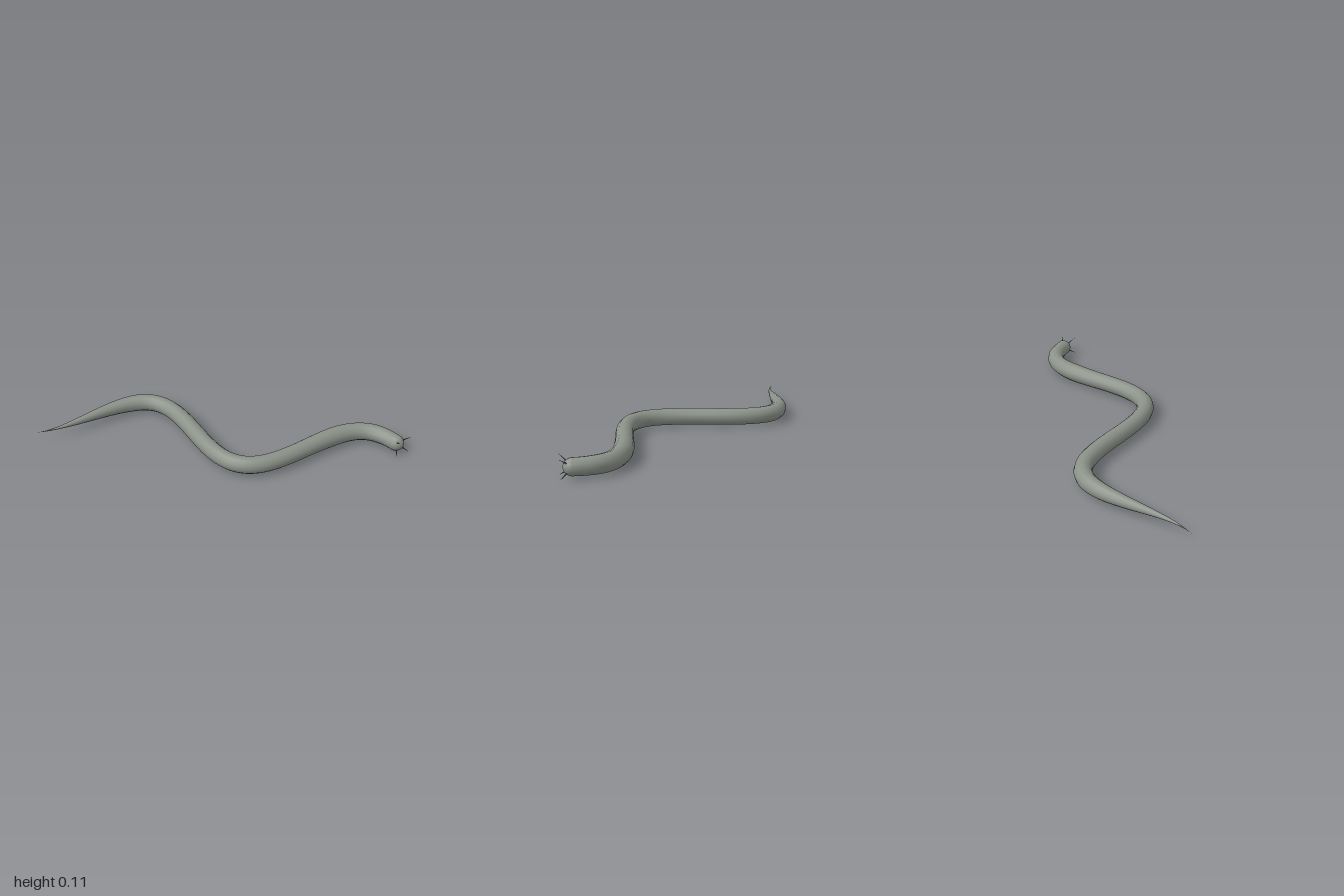
import * as THREE from 'three';

const SIDES = 12, MID_Y = 0.053, HEAD_X = 0.92, HEAD_R = 0.0445;
const K = (2 * Math.PI) / 1.228, PEAK_X = -0.462, AMP = 0.216;

// Wavy centreline lying flat, with its tangent
const centre = x => new THREE.Vector3(x, MID_Y, -AMP * Math.cos(K * (x - PEAK_X)));
const tangent = x => new THREE.Vector3(1, 0, AMP * K * Math.sin(K * (x - PEAK_X))).normalize();
const sideways = t => new THREE.Vector3(-t.z, 0, t.x);

// Radius along the body: fine tail, even trunk, slight swelling before the head
function radius(x) {
  const s = THREE.MathUtils.clamp((x + 1) / 0.5, 0, 1);
  const taper = 0.0002 + 0.0468 * Math.pow(Math.sin((s * Math.PI) / 2), 1.6);
  const swelling = 0.0045 * Math.exp(-(((x - 0.58) / 0.1) ** 2));
  const neck = (0.047 - HEAD_R) * THREE.MathUtils.smoothstep(x, 0.8, HEAD_X);
  return taper + swelling - neck;
}

function bodyGeometry() {
  const rings = [];
  const STEPS = 110, CAP = 9;
  for (let i = 0; i <= STEPS; i++) {
    const x = -1 + ((HEAD_X + 1) * i) / STEPS;
    rings.push({ c: centre(x), t: tangent(x), r: radius(x) });
  }
  // Rounded head end
  const t = tangent(HEAD_X);
  for (let i = 1; i <= CAP; i++) {
    const a = (i / CAP) * Math.PI / 2;
    rings.push({
      c: centre(HEAD_X).addScaledVector(t, HEAD_R * Math.sin(a)),
      t, r: Math.max(HEAD_R * Math.cos(a), 0.0002),
    });
  }
  const pos = [], index = [];
  rings.forEach(({ c, t, r }, i) => {
    const n = sideways(t);
    for (let j = 0; j < SIDES; j++) {
      const a = (j / SIDES) * Math.PI * 2;
      pos.push(c.x + n.x * r * Math.cos(a), c.y + r * Math.sin(a), c.z + n.z * r * Math.cos(a));
      if (i === 0) continue;
      const k = (j + 1) % SIDES;
      const p = (i - 1) * SIDES, q = i * SIDES;
      index.push(p + j, q + j, q + k, p + j, q + k, p + k);
    }
  });
  const g = new THREE.BufferGeometry();
  g.setAttribute('position', new THREE.Float32BufferAttribute(pos, 3));
  g.setIndex(index);
  g.computeVertexNormals();
  return g;
}

// Thin cone from base to tip
function bristle(base, tip, material) {
  const dir = tip.clone().sub(base);
  const mesh = new THREE.Mesh(new THREE.ConeGeometry(0.0035, dir.length(), 6), material);
  mesh.position.copy(base).addScaledVector(dir, 0.5);
  mesh.quaternion.setFromUnitVectors(new THREE.Vector3(0, 1, 0), dir.normalize());
  return mesh;
}

export function createModel() {
  const skin = new THREE.MeshStandardMaterial({ color: 0x8b9289 });
  skin.name = 'grey green skin';
  const dark = new THREE.MeshStandardMaterial({ color: 0x5f645b });
  dark.name = 'dark bristle';

  const group = new THREE.Group();
  group.name = 'worm';
  const body = new THREE.Mesh(bodyGeometry(), skin);
  body.name = 'body';
  group.add(body);

  // Four bristles splayed around the head
  const c = centre(HEAD_X), t = tangent(HEAD_X), n = sideways(t);
  const at = (f, l, v) => c.clone().addScaledVector(t, f).addScaledVector(n, l).add(new THREE.Vector3(0, v, 0));
  for (const l of [-1, 1]) for (const v of [-1, 1]) {
    const b = bristle(at(0.028, 0.0225 * l, 0.0245 * v), at(0.063, 0.049 * l, 0.053 * v), dark);
    b.name = `${v > 0 ? 'upper' : 'lower'}${l > 0 ? 'Left' : 'Right'}Bristle`;
    group.add(b);
  }
  return group;
}
